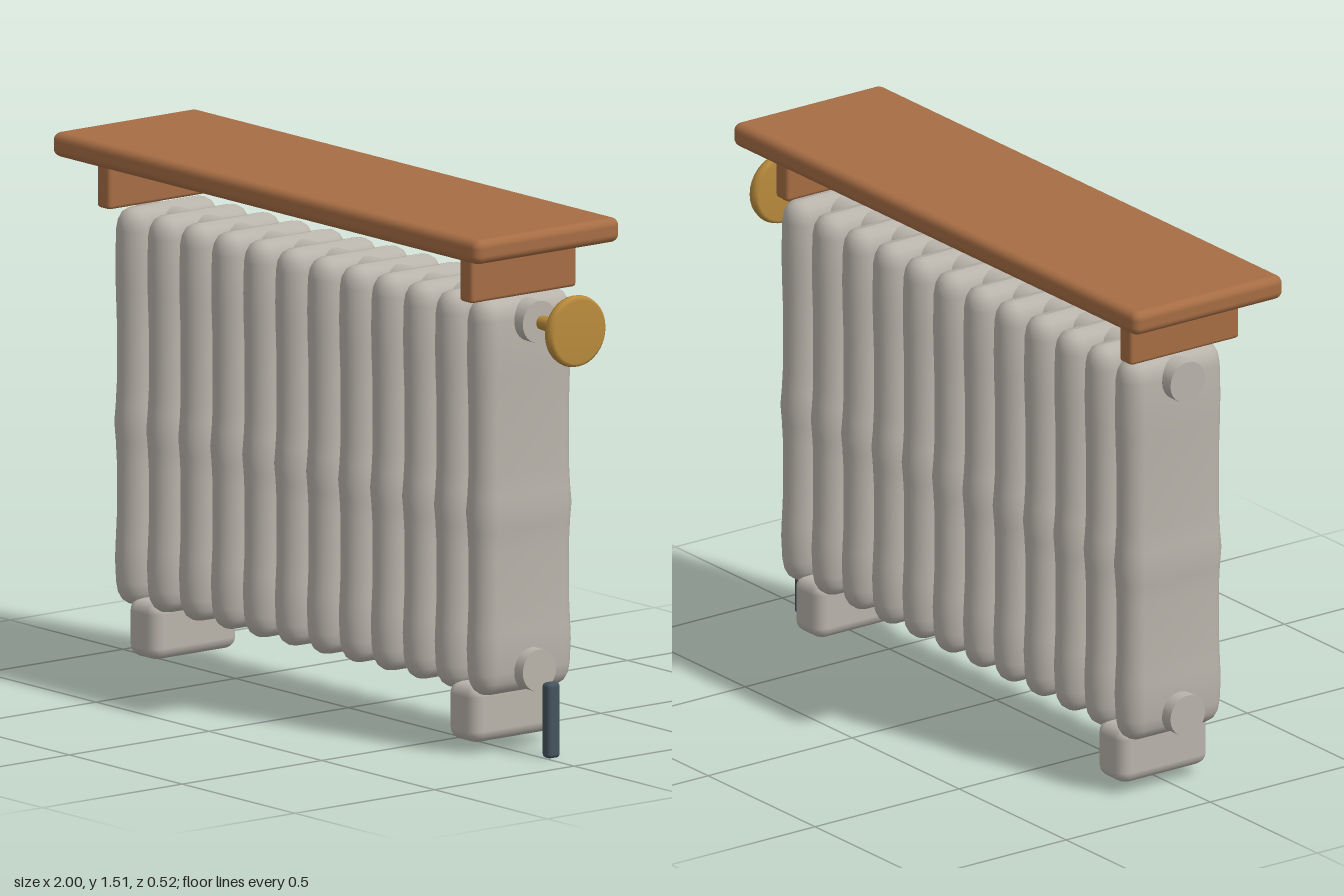
import * as THREE from 'three';
import { RoundedBoxGeometry } from 'three/addons/geometries/RoundedBoxGeometry.js';

const mat = (name, color) => {
  const m = new THREE.MeshStandardMaterial({ color });
  m.name = name;
  return m;
};

export function createModel() {
  const root = new THREE.Group();
  root.name = 'radiator';
  const iron = mat('grey iron', 0xb9b4ab);
  const wood = mat('brown wood', 0xa66d44);
  const brass = mat('brass', 0xb98b3c);
  const steel = mat('dark steel', 0x45535e);
  const Z = -0.022; // centre line of the iron body

  const add = (name, geometry, material, x, y, z) => {
    const mesh = new THREE.Mesh(geometry, material);
    mesh.name = name;
    mesh.position.set(x, y, z);
    root.add(mesh);
    return mesh;
  };
  // Rounded block given by its extents
  const block = (name, material, [x0, x1], [y0, y1], [z0, z1], r, seg = 3) =>
    add(name, new RoundedBoxGeometry(x1 - x0, y1 - y0, z1 - z0, seg, r), material,
      (x0 + x1) / 2, (y0 + y1) / 2, (z0 + z1) / 2);
  // Cylinder lying along x
  const rod = (name, material, x0, x1, y, r0, r1) => {
    const g = new THREE.CylinderGeometry(r1, r0, x1 - x0, 24).rotateZ(-Math.PI / 2);
    return add(name, g, material, (x0 + x1) / 2, y, Z);
  };

  // Column: a turned profile pulled apart in depth into a flat-sided slab
  const profile = [
    [0.001, 0.17], [0.022, 0.174], [0.039, 0.186], [0.05, 0.206], [0.055, 0.235],
    [0.058, 0.3], [0.056, 0.35], [0.053, 0.42], [0.053, 0.58], [0.056, 0.64],
    [0.06, 0.69], [0.056, 0.74], [0.053, 0.8], [0.053, 0.98], [0.056, 1.08],
    [0.057, 1.15], [0.055, 1.24], [0.05, 1.267], [0.039, 1.287], [0.022, 1.298], [0.001, 1.302],
  ].map(([r, y]) => new THREE.Vector2(r, y));
  const column = new THREE.LatheGeometry(profile, 24, Math.PI / 24);
  const p = column.attributes.position;
  for (let i = 0; i < p.count; i++) p.setZ(i, p.getZ(i) + Math.sign(p.getZ(i)) * 0.112);

  for (let i = 0; i < 12; i++) add('column', column, iron, -0.831 + i * 0.1417, 0, Z);

  // Header pipes through all columns
  rod('upperPipe', iron, -0.925, 0.82, 1.233, 0.06, 0.06);
  rod('lowerPipe', iron, -0.925, 0.82, 0.24, 0.06, 0.06);

  // Feet
  for (const x of [-0.76, 0.658])
    block('foot', iron, [x - 0.064, x + 0.064], [0.03, 0.195], [-0.175, 0.132], 0.034, 2);

  // Shelf on two brackets
  block('shelf', wood, [-1, 0.89], [1.44, 1.51], [-0.26, 0.26], 0.024);
  for (const x of [-0.855, 0.752])
    block('bracket', wood, [x - 0.028, x + 0.028], [1.305, 1.45], [-0.188, 0.189], 0.01, 2);

  // Valve stem and handwheel
  rod('valveStem', brass, 0.83, 0.945, 1.233, 0.02, 0.026);
  const wheel = new THREE.LatheGeometry([
    [0, -0.018], [0.09, -0.018], [0.099, -0.012], [0.102, 0], [0.099, 0.012], [0.09, 0.018], [0, 0.018],
  ].map(([r, y]) => new THREE.Vector2(r, y)), 32).rotateZ(-Math.PI / 2);
  add('handwheel', wheel, brass, 0.978, 1.233, Z);

  // Dark lever hanging beside the lower pipe
  block('lever', steel, [0.853, 0.89], [0, 0.215], [-0.044, 0], 0.012, 2);

  return root;
}
